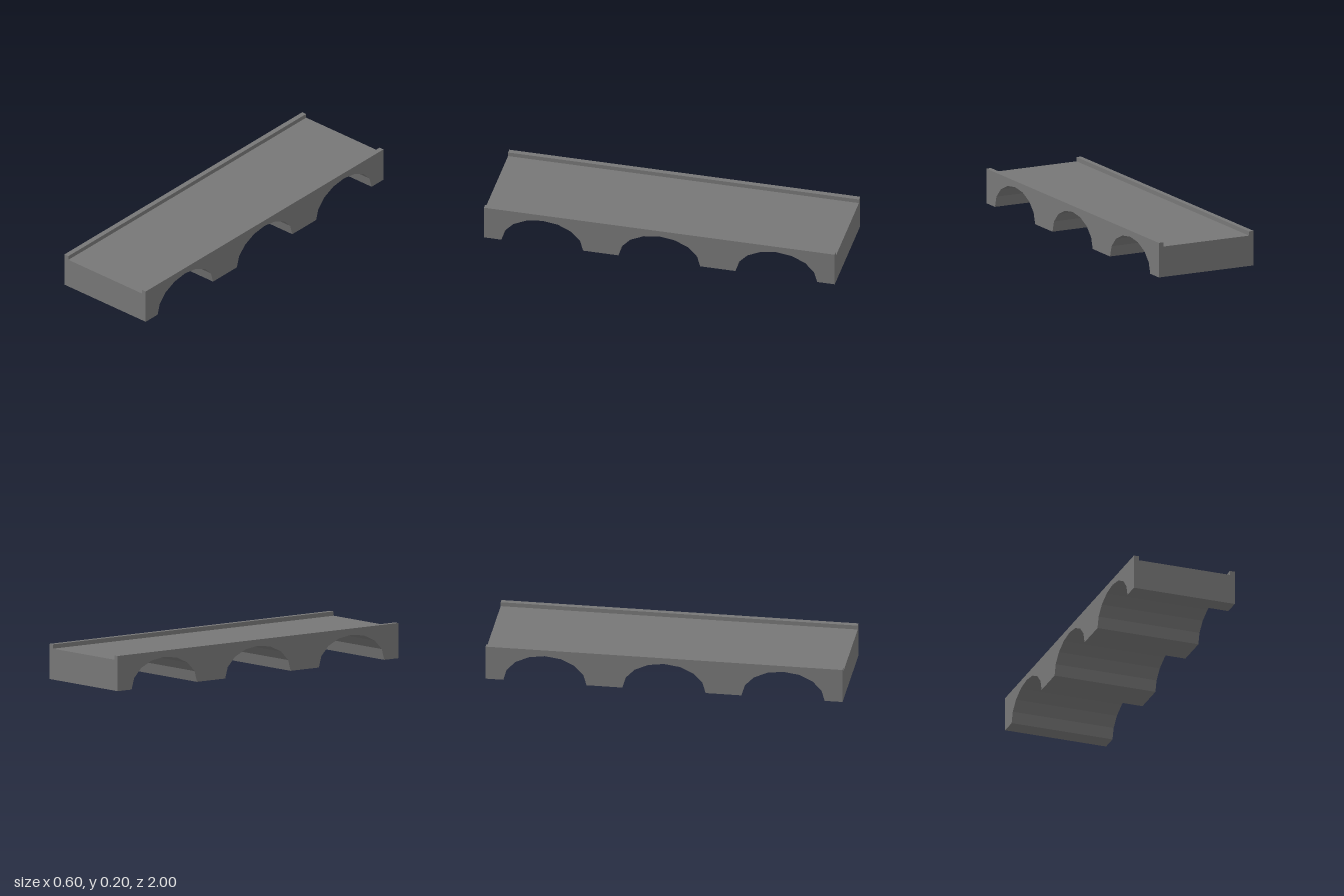
import * as THREE from 'three';

const HALF_LENGTH = 1, HALF_WIDTH = 0.299;
const DECK_Y = 0.173, TOP_Y = 0.197, PARAPET_WIDTH = 0.029;
const ARCH_CENTRES = [-0.667, 0, 0.667];
const ARCH_HALF_SPAN = 0.233, ARCH_RISE = 0.162, ARCH_SEGMENTS = 8;

export function createModel() {
  const bridge = new THREE.Group();
  bridge.name = 'archBridge';
  const material = new THREE.MeshStandardMaterial({ color: 0x777777, flatShading: true });

  const add = (name, geometry, x = 0, y = 0) => {
    const mesh = new THREE.Mesh(geometry, material);
    mesh.name = name;
    mesh.position.set(x, y, 0);
    bridge.add(mesh);
  };

  // Side profile: flat deck with three faceted elliptical arches cut from below
  const profile = new THREE.Shape();
  profile.moveTo(-HALF_LENGTH, 0);
  for (const centre of ARCH_CENTRES) {
    for (let i = 0; i <= ARCH_SEGMENTS; i++) {
      const a = Math.PI * (1 - i / ARCH_SEGMENTS);
      profile.lineTo(centre + ARCH_HALF_SPAN * Math.cos(a), ARCH_RISE * Math.sin(a));
    }
  }
  profile.lineTo(HALF_LENGTH, 0);
  profile.lineTo(HALF_LENGTH, DECK_Y);
  profile.lineTo(-HALF_LENGTH, DECK_Y);
  profile.closePath();

  // Extrude across the width, then turn the profile to run along z
  const body = new THREE.ExtrudeGeometry(profile, { depth: 2 * HALF_WIDTH, bevelEnabled: false });
  body.translate(0, 0, -HALF_WIDTH).rotateY(-Math.PI / 2);
  add('archedDeck', body);

  // Low parapet along each edge
  const height = TOP_Y - DECK_Y;
  for (const [name, side] of [['leftParapet', 1], ['rightParapet', -1]]) {
    add(name, new THREE.BoxGeometry(PARAPET_WIDTH, height, 2 * HALF_LENGTH),
      side * (HALF_WIDTH - PARAPET_WIDTH / 2), DECK_Y + height / 2);
  }

  return bridge;
}
